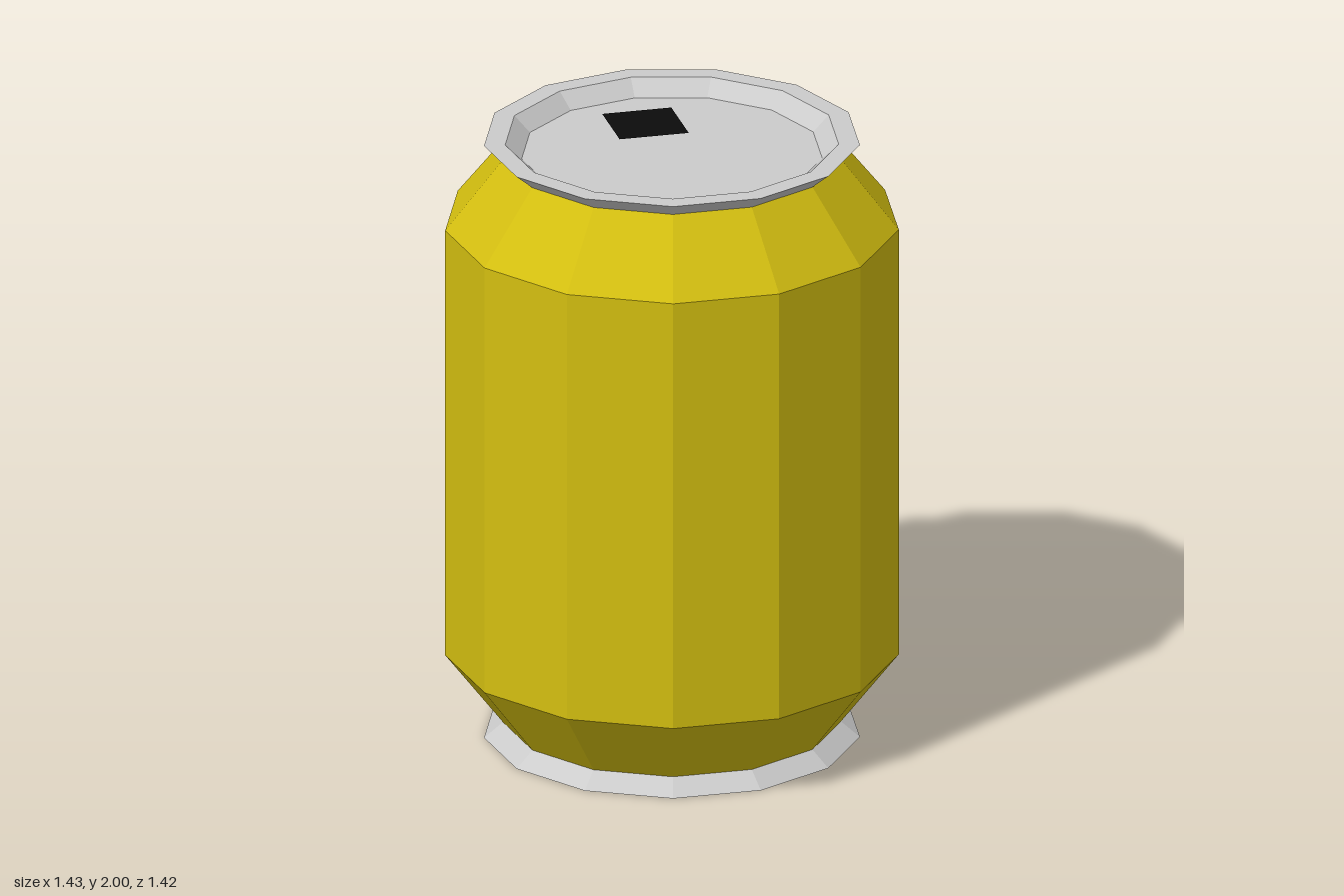
import * as THREE from 'three';

const SIDES = 13;

const material = (color) => new THREE.MeshStandardMaterial({ color, flatShading: true });

// Faceted solid of revolution with one corner pointing to the back
function turned(name, profile, mat) {
  const points = profile.map(([r, y]) => new THREE.Vector2(r, y));
  const mesh = new THREE.Mesh(new THREE.LatheGeometry(points, SIDES, Math.PI), mat);
  mesh.name = name;
  mesh.position.z = 0.01;
  return mesh;
}

export function createModel() {
  const model = new THREE.Group();
  model.name = 'drinkCan';

  const metal = material(0xcccccc);
  const paint = material(0xd4bf10);
  const black = material(0x0c0c0c);
  black.side = THREE.DoubleSide;

  // Painted wall with tapered shoulders
  model.add(turned('body', [[0.535, 0.05], [0.718, 0.285], [0.718, 1.72], [0.535, 1.95]], paint));

  // Flared rims with recessed ends, mirrored top and bottom
  const lid = [[0.535, 1.95], [0.595, 2], [0.528, 2], [0.476, 1.95], [0, 1.95]];
  const base = lid.map(([r, y]) => [r, 2 - y]).reverse();
  model.add(turned('lid', lid, metal), turned('base', base, metal));

  // Drinking opening, a thin square just above the lid
  const opening = new THREE.Mesh(new THREE.PlaneGeometry(0.224, 0.224), black);
  opening.name = 'opening';
  opening.rotation.x = -Math.PI / 2;
  opening.position.set(-0.027, 1.96, -0.222);
  model.add(opening);

  return model;
}
